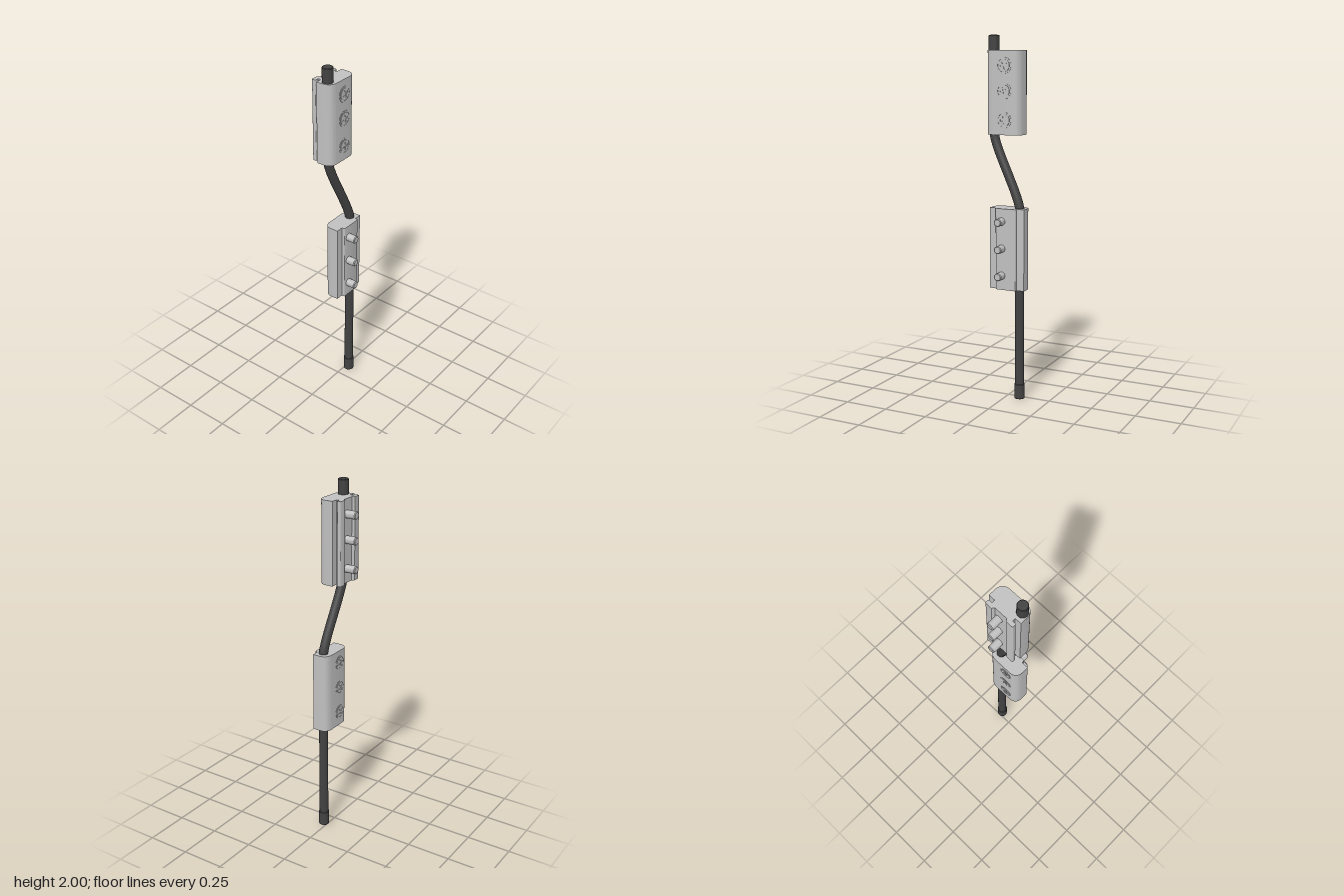
import * as THREE from 'three';
import { toCreasedNormals } from 'three/addons/utils/BufferGeometryUtils.js';

export function createModel() {
  const model = new THREE.Group();
  const metal = new THREE.MeshStandardMaterial({ color: 0xc0c0c0 });
  metal.name = 'light metal';
  const rubber = new THREE.MeshStandardMaterial({ color: 0x424242 });
  rubber.name = 'dark rubber';

  const add = (parent, name, geometry, material) => {
    const mesh = new THREE.Mesh(geometry, material);
    mesh.name = name;
    parent.add(mesh);
    return mesh;
  };

  // Clamp body: x/z outline swept upwards; four-number entries are rounded corners
  const body = (name, outline, y0, height) => {
    const shape = new THREE.Shape();
    outline.forEach((p, i) => {
      if (i === 0) shape.moveTo(p[0], -p[1]);
      else if (p.length === 4) shape.quadraticCurveTo(p[0], -p[1], p[2], -p[3]);
      else shape.lineTo(p[0], -p[1]);
    });
    shape.closePath();
    const geo = new THREE.ExtrudeGeometry(shape, { depth: height, bevelEnabled: false, curveSegments: 10 });
    geo.rotateX(-Math.PI / 2).translate(0, y0, 0);
    add(model, name, toCreasedNormals(geo, 0.5), metal);
  };

  body('upperClamp', [
    [-0.12, -0.043], [-0.083, -0.043], [-0.083, -0.06], [-0.1, -0.06], [-0.106, -0.06, -0.106, -0.066],
    [-0.106, -0.077], [-0.106, -0.083, -0.1, -0.083], [-0.066, -0.083], [-0.056, -0.07],
    [0.02, -0.07], [0.03, -0.083], [0.064, -0.083], [0.07, -0.083, 0.07, -0.077],
    [0.07, -0.066], [0.07, -0.06, 0.064, -0.06], [0.047, -0.06], [0.047, -0.043],
    [0.085, -0.043], [0.085, 0.0], [0.081, 0.042, 0.04, 0.046],
    [-0.075, 0.046], [-0.116, 0.042, -0.12, 0.0],
  ], 1.47, 0.45);

  body('lowerClamp', [
    [-0.085, 0.06], [-0.043, 0.06], [-0.043, 0.071], [-0.043, 0.077, -0.037, 0.077],
    [0.071, 0.077], [0.077, 0.077, 0.077, 0.071], [0.077, 0.06], [0.12, 0.06],
    [0.12, 0.012], [0.116, -0.026, 0.075, -0.03], [-0.04, -0.03], [-0.081, -0.026, -0.085, 0.012],
  ], 0.625, 0.45);

  // Cross-recessed screw head, facing +z
  const headShape = new THREE.Shape().absarc(0, 0, 0.033, 0, Math.PI * 2);
  const a = 0.005, b = 0.021;
  headShape.holes.push(new THREE.Path([
    [a, a], [a, b], [-a, b], [-a, a], [-b, a], [-b, -a],
    [-a, -a], [-a, -b], [a, -b], [a, -a], [b, -a], [b, a],
  ].map(([x, y]) => new THREE.Vector2(x, y))));
  const headGeo = toCreasedNormals(new THREE.ExtrudeGeometry(headShape, {
    depth: 0.003, bevelEnabled: false, curveSegments: 32,
  }), 0.5);
  const rimShape = new THREE.Shape().absarc(0, 0, 0.043, 0, Math.PI * 2);
  rimShape.holes.push(new THREE.Path().absarc(0, 0, 0.036, 0, Math.PI * 2));
  const rimGeo = toCreasedNormals(new THREE.ExtrudeGeometry(rimShape, {
    depth: 0.002, bevelEnabled: false, curveSegments: 32,
  }), 0.5);

  // Each screw has a head on one face and a shank out of the other (dir = facing of head)
  const screw = (name, y, headZ, tipZ, dir, turn, scale) => {
    const group = new THREE.Group();
    group.name = name;
    group.position.set(-0.006, y, 0);
    const head = add(group, 'screwHead', headGeo, metal);
    const rim = add(group, 'screwRim', rimGeo, metal);
    for (const m of [head, rim]) {
      m.position.z = headZ;
      m.rotation.y = dir > 0 ? 0 : Math.PI;
      m.scale.set(scale, scale, 1);
    }
    head.rotation.z = turn;
    const length = Math.abs(tipZ);
    const r = 0.0215;
    const shankGeo = new THREE.LatheGeometry([
      [r, 0.03], [r, length - 0.004], [r - 0.004, length], [0, length],
    ].map(([x, h]) => new THREE.Vector2(x, h)), 24);
    shankGeo.rotateX(-dir * Math.PI / 2);
    add(group, 'screwShank', toCreasedNormals(shankGeo, 0.5), metal);
    model.add(group);
  };
  [1.84, 1.705, 1.55].forEach((y, i) => screw('upperScrew' + (i + 1), y, 0.046, -0.133, 1, 0.35 - i * 0.15, 1));
  [1.005, 0.855, 0.705].forEach((y, i) => screw('lowerScrew' + (i + 1), y, -0.03, 0.13, -1, 0.3 + i * 0.2, 0.9));

  // Cable running through both clamps with an S-bend between them
  const v = (x, y, z) => new THREE.Vector3(x, y, z);
  const lowX = 0.078, lowZ = 0.022, topX = -0.086, topZ = 0.002;
  const path = new THREE.CurvePath();
  path.add(new THREE.LineCurve3(v(lowX, 0.02, lowZ), v(lowX, 1.06, lowZ)));
  path.add(new THREE.CubicBezierCurve3(v(lowX, 1.06, lowZ), v(lowX, 1.14, lowZ), v(topX, 1.4, topZ), v(topX, 1.48, topZ)));
  path.add(new THREE.LineCurve3(v(topX, 1.48, topZ), v(topX, 1.98, topZ)));
  add(model, 'cable', new THREE.TubeGeometry(path, 140, 0.025, 24), rubber);

  // End sleeves
  const sleeve = (name, x, z, y0, y1) => {
    const r = 0.029, c = 0.003;
    const geo = new THREE.LatheGeometry([
      [0, y0], [r - c, y0], [r, y0 + c], [r, y1 - c], [r - c, y1], [0, y1],
    ].map(([px, py]) => new THREE.Vector2(px, py)), 28);
    add(model, name, toCreasedNormals(geo, 0.5), rubber).position.set(x, 0, z);
  };
  sleeve('bottomSleeve', lowX, lowZ, 0, 0.085);
  sleeve('topSleeve', topX, topZ, 1.9, 2);

  return model;
}
